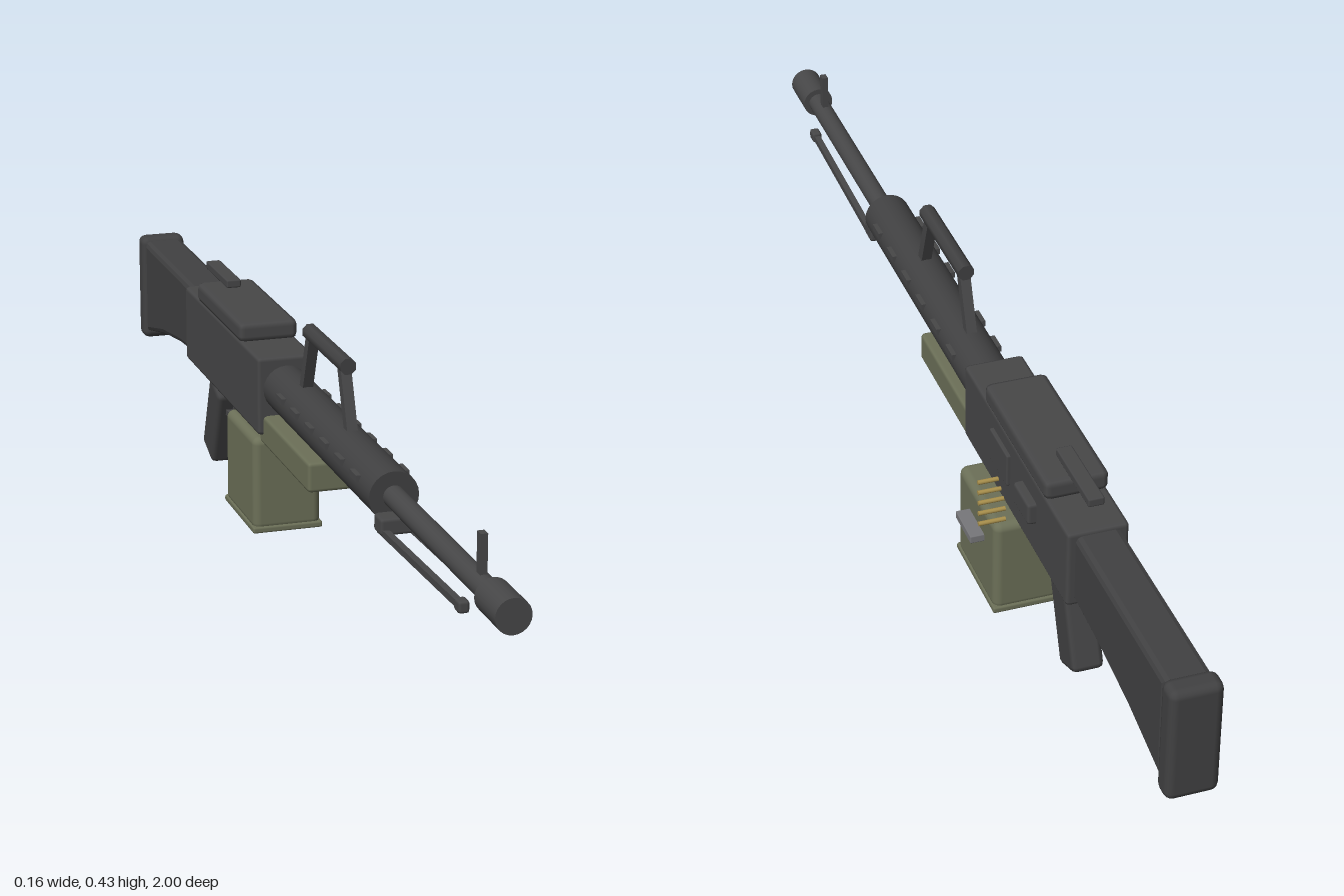
import * as THREE from 'three';
import { RoundedBoxGeometry } from 'three/addons/geometries/RoundedBoxGeometry.js';

const material = (name, color) => Object.assign(new THREE.MeshStandardMaterial({ color }), { name });

export function createModel() {
  const metal = material('dark metal', 0x474748);
  const polymer = material('dark polymer', 0x414142);
  const olive = material('olive', 0x6c7058);
  const brass = material('brass', 0xa88f4c);
  const steel = material('grey steel', 0x77777a);

  const model = new THREE.Group();
  model.name = 'machineGun';
  // everything on the bore line sits slightly off centre
  const gun = new THREE.Group();
  gun.name = 'gunBody';
  gun.position.x = -0.025;
  model.add(gun);

  const add = (name, geo, mat, x, y, z, parent = gun) => {
    const mesh = new THREE.Mesh(geo, mat);
    mesh.name = name;
    mesh.position.set(x, y, z);
    parent.add(mesh);
    return mesh;
  };
  // box given by its y and z extents, with optional softened edges
  const box = (name, mat, x, w, y0, y1, z0, z1, r = 0, seg = 1, parent = gun) => {
    const h = y1 - y0, d = z1 - z0;
    const geo = r ? new RoundedBoxGeometry(w, h, d, seg, r) : new THREE.BoxGeometry(w, h, d);
    return add(name, geo, mat, x, (y0 + y1) / 2, (z0 + z1) / 2, parent);
  };
  // cylinder along z
  const tube = (name, mat, r, y, z0, z1, sides = 24) =>
    add(name, new THREE.CylinderGeometry(r, r, z1 - z0, sides).rotateX(Math.PI / 2), mat, 0, y, (z0 + z1) / 2);
  // bar between two points [y, z] at one x
  const bar = (name, mat, x, w, t, [ya, za], [yb, zb]) => {
    const len = Math.hypot(yb - ya, zb - za);
    const mesh = add(name, new THREE.BoxGeometry(w, t, len), mat, x, (ya + yb) / 2, (za + zb) / 2);
    mesh.rotation.x = -Math.atan2(yb - ya, zb - za);
    return mesh;
  };

  // barrel group
  tube('muzzle', metal, 0.028, 0.28, 0.915, 1);
  tube('barrel', metal, 0.018, 0.28, 0.4, 0.93);
  tube('handguard', polymer, 0.041, 0.28, -0.13, 0.475);
  box('frontSight', metal, 0, 0.011, 0.29, 0.36, 0.862, 0.878);
  for (let i = 0; i < 6; i++)
    box('handguardVent', metal, 0, 0.088, 0.289, 0.3, 0.385 - i * 0.082, 0.42 - i * 0.082);

  // folded bipod
  box('bipodHinge', metal, 0, 0.066, 0.228, 0.257, 0.472, 0.51, 0.006);
  for (const x of [-0.024, 0.024]) {
    bar('bipodLeg', metal, x, 0.011, 0.011, [0.232, 0.48], [0.244, 0.855]);
    box('bipodFoot', metal, x, 0.018, 0.235, 0.255, 0.842, 0.866, 0.005);
  }

  // carrying handle
  tube('carryGrip', polymer, 0.0145, 0.421, 0.03, 0.24, 8).rotation.z = Math.PI / 8;
  bar('handleFrontLeg', metal, 0, 0.018, 0.018, [0.415, 0.218], [0.31, 0.258]);
  bar('handleRearLeg', metal, 0, 0.018, 0.018, [0.415, 0.045], [0.31, 0.005]);

  // receiver, cover and sight
  box('receiver', metal, 0, 0.102, 0.198, 0.337, -0.6, -0.11, 0.007);
  box('feedCover', metal, 0, 0.107, 0.334, 0.37, -0.507, -0.215, 0.011);
  box('rearSightBase', metal, 0, 0.02, 0.365, 0.375, -0.5, -0.45);
  box('rearSight', metal, 0, 0.027, 0.371, 0.386, -0.587, -0.442, 0.003);
  box('ejectionPort', metal, 0.05, 0.015, 0.25, 0.309, -0.34, -0.255, 0.003);
  box('chargingHandle', metal, 0.055, 0.022, 0.26, 0.3, -0.463, -0.392, 0.006);

  // shoulder stock
  const profile = new THREE.Shape([
    [-0.59, 0.33], [-0.96, 0.331], [-0.96, 0.148], [-0.83, 0.178], [-0.7, 0.197], [-0.59, 0.206],
  ].map(([z, y]) => new THREE.Vector2(z, y)));
  const stockGeo = new THREE.ExtrudeGeometry(profile, {
    depth: 0.055, bevelThickness: 0.01, bevelSize: 0.01, bevelOffset: -0.01, bevelSegments: 2,
  }).rotateY(-Math.PI / 2).translate(0.0275, 0, 0);
  add('stock', stockGeo, polymer, 0, 0, 0);
  box('buttPlate', polymer, 0, 0.086, 0.133, 0.338, -1, -0.957, 0.014, 2);

  // grip and trigger
  const grip = add('pistolGrip', new RoundedBoxGeometry(0.055, 0.158, 0.07, 1, 0.01), polymer, 0, 0.1, -0.518);
  grip.rotation.x = 0.37;
  box('triggerGuardPost', metal, 0, 0.02, 0.123, 0.17, -0.386, -0.376);
  box('triggerGuard', metal, 0, 0.02, 0.122, 0.132, -0.475, -0.376);
  bar('trigger', metal, 0, 0.011, 0.011, [0.168, -0.424], [0.135, -0.436]);

  // olive forend block and ammunition box
  box('forendBlock', olive, 0, 0.083, 0.18, 0.233, -0.135, 0.155, 0.007);
  box('ammoBox', olive, 0.0165, 0.123, 0.003, 0.176, -0.345, -0.16, 0.014, 3);
  box('ammoBoxBase', olive, 0.0165, 0.128, 0, 0.012, -0.348, -0.157, 0.004);
  box('ammoBoxLatch', steel, 0.088, 0.028, 0.111, 0.125, -0.293, -0.217, 0.002);

  // cartridge belt
  for (let i = 0; i < 5; i++) {
    const round = new THREE.CylinderGeometry(0.004, 0.004, 0.046, 10).rotateZ(Math.PI / 2);
    add('cartridge', round, brass, 0.038 + i * 0.0043, 0.224 - i * 0.0102, -0.282 - i * 0.0135, model);
  }
  return model;
}
